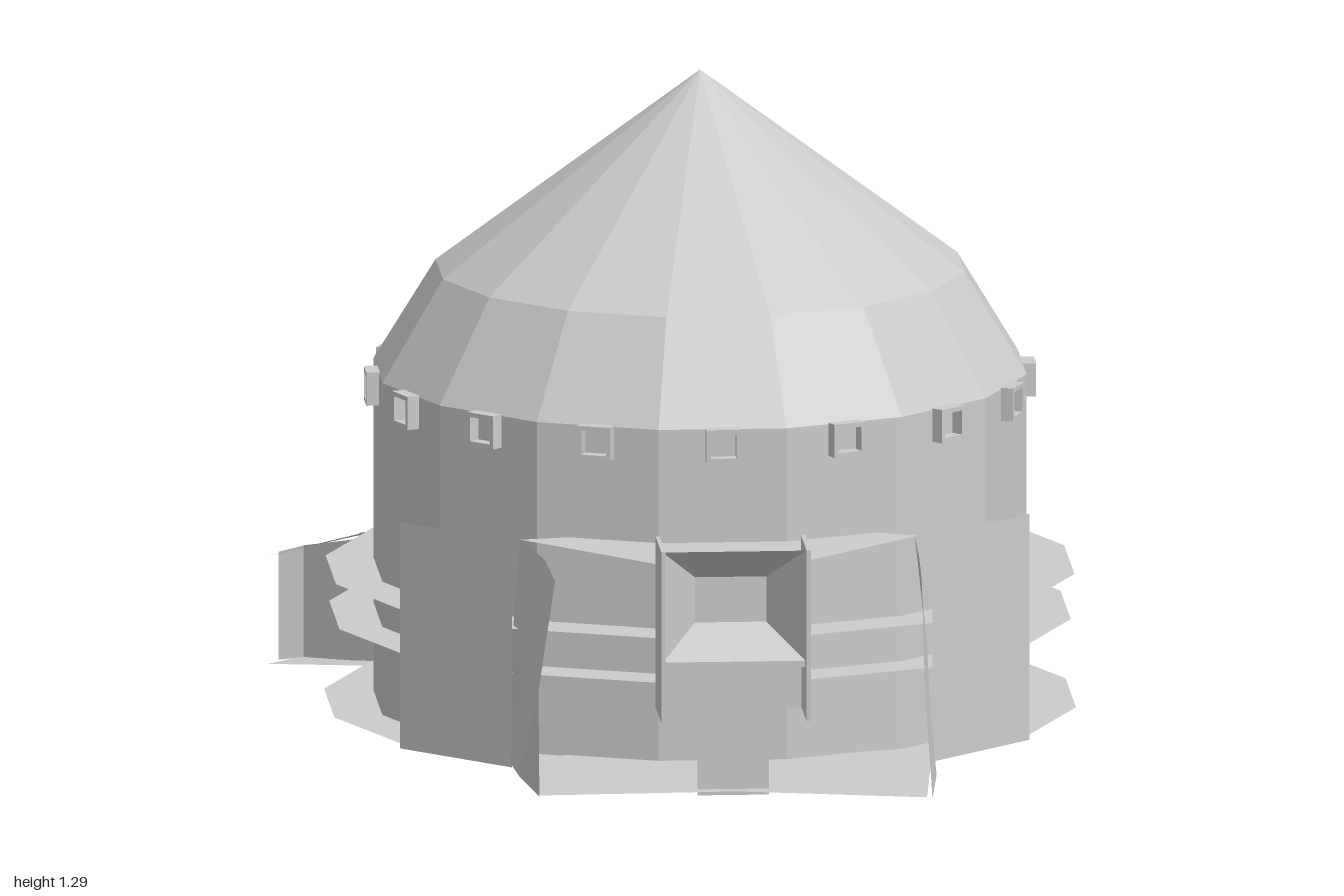
import * as THREE from 'three';

const SIDES = 16, STEP = Math.PI * 2 / SIDES, CZ = -0.115;
const R = a => a / Math.cos(STEP / 2); // corner radius from flat radius
const solid = new THREE.MeshStandardMaterial({ color: 0xcccccc, flatShading: true });
const thin = new THREE.MeshStandardMaterial({ color: 0xcccccc, flatShading: true, side: THREE.DoubleSide });

function add(parent, name, geometry, material = solid) {
  const mesh = new THREE.Mesh(geometry, material);
  mesh.name = name;
  parent.add(mesh);
  return mesh;
}

// Open sheet lofted through rows of points of equal length
function sheet(parent, name, rows) {
  const n = rows[0].length, index = [];
  for (let r = 0; r < rows.length - 1; r++)
    for (let c = 0; c < n - 1; c++) {
      const a = r * n + c, b = a + n;
      index.push(a, a + 1, b + 1, a, b + 1, b);
    }
  const g = new THREE.BufferGeometry();
  g.setAttribute('position', new THREE.Float32BufferAttribute(rows.flat(2), 3));
  g.setIndex(index);
  g.computeVertexNormals();
  return add(parent, name, g, thin);
}

// Horizontal polygon given as [x, z] corners
function slab(parent, name, corners, y) {
  const shape = new THREE.Shape(corners.map(([x, z]) => new THREE.Vector2(x, -z)));
  const g = new THREE.ShapeGeometry(shape).rotateX(-Math.PI / 2).translate(0, y, 0);
  return add(parent, name, g, thin);
}

function tower(root) {
  const t = new THREE.Group();
  t.name = 'tower';
  t.position.z = CZ;
  root.add(t);

  const drum = (name, rTop, rBottom, y0, y1) => add(t, name,
    new THREE.CylinderGeometry(rTop && R(rTop), R(rBottom), y1 - y0, SIDES, 1, true)
      .rotateY(STEP / 2).translate(0, (y0 + y1) / 2, 0));
  drum('wall', 0.63, 0.63, 0.03, 0.7);
  drum('lowerRoof', 0.51, 0.63, 0.7, 0.9);
  drum('upperRoof', 0, 0.51, 0.9, 1.29);

  // Flat walkways and base
  const ring = (name, inner, outer, y) => add(t, name,
    new THREE.RingGeometry(inner && R(inner), R(outer), SIDES)
      .rotateX(-Math.PI / 2).rotateY(STEP / 2).translate(0, y, 0), thin);
  ring('upperWalkway', 0.63, 0.722, 0.305);
  ring('lowerWalkway', 0.63, 0.715, 0.215);
  ring('baseRim', 0.6, 0.725, 0.04);
  ring('baseDisc', 0, 0.66, 0.03);
  for (const r of [0.26, 0.37])
    add(t, 'undersideRidge', new THREE.TorusGeometry(r, 0.008, 4, 32).rotateX(Math.PI / 2).translate(0, 0.03, 0));

  // Flat screens beside the porch
  for (const face of [0, 4])
    add(t, 'screenWall', new THREE.CylinderGeometry(R(0.726), R(0.726), 0.45, 1, 1, true,
      (face - 0.5) * STEP, STEP).translate(0, 0.255, 0), thin);

  // Window frames, one per face
  const frame = new THREE.Shape([[-0.034, -0.033], [0.034, -0.033], [0.034, 0.033], [-0.034, 0.033]]
    .map(p => new THREE.Vector2(...p)));
  frame.holes.push(new THREE.Path([[-0.025, -0.024], [-0.025, 0.024], [0.025, 0.024], [0.025, -0.024]]
    .map(p => new THREE.Vector2(...p))));
  const frameGeo = new THREE.ExtrudeGeometry(frame, { depth: 0.035, bevelEnabled: false })
    .translate(0, 0.67, 0.62);
  for (let i = 0; i < SIDES; i++) add(t, 'windowFrame', frameGeo).rotation.y = i * STEP;

  // Small rear hatch
  add(t, 'rearHatch', new THREE.BoxGeometry(0.11, 0.06, 0.02).translate(0, 0.335, 0.635))
    .rotation.y = -6 * STEP;
}

function chute(root) {
  const c = new THREE.Group();
  c.name = 'sideChute';
  root.add(c);
  const deck = (name, yIn, yOut) => sheet(c, name, [
    [[-0.69, yIn, -0.26], [-0.69, yIn, 0.03]],
    [[-0.99, yOut, -0.26], [-0.99, yOut, 0.03]]]);
  deck('chuteTop', 0.31, 0.215);
  deck('chuteFloor', 0.035, 0);
  // Side walls flare at the mouth
  for (const s of [-1, 1]) {
    const z = CZ + s * 0.085;
    sheet(c, 'chuteWall', [
      [[-0.62, 0.035, z], [-0.95, 0.01, z], [-0.985, 0.005, z + s * 0.035]],
      [[-0.62, 0.305, z], [-0.69, 0.32, z], [-0.985, 0.22, z + s * 0.035]]]
      .map((row, i) => i ? [row[0], [-0.95, 0.232, z], row[2]] : row));
  }
}

function porch(root) {
  const p = new THREE.Group();
  p.name = 'porch';
  root.add(p);

  slab(p, 'porchFloor', [[0.12, 0.58], [0.41, 0.83], [0.67, 0.55], [0.99, 0.35], [0.7, 0.0], [0.4, 0.2]], 0.042);
  slab(p, 'porchRoof', [[0.13, 0.57], [0.49, 0.58], [0.69, 0.38], [0.69, 0.03], [0.5, 0.1], [0.25, 0.4]], 0.475);

  // Leaning wings, creased halfway up
  sheet(p, 'leftWing', [
    [[0.115, 0.04, 0.59], [0.25, 0.04, 0.71], [0.41, 0.04, 0.835]],
    [[0.12, 0.25, 0.585], [0.23, 0.25, 0.665], [0.41, 0.25, 0.838]],
    [[0.13, 0.475, 0.57], [0.28, 0.47, 0.67], [0.42, 0.465, 0.8]]]);
  sheet(p, 'rightWing', [
    [[0.7, 0.04, 0.0], [0.85, 0.04, 0.16], [1.0, 0.04, 0.345]],
    [[0.695, 0.25, 0.01], [0.8, 0.25, 0.135], [0.985, 0.25, 0.35]],
    [[0.685, 0.475, 0.035], [0.84, 0.475, 0.2], [0.985, 0.475, 0.36]]]);

  // Gate between the wings, facing diagonally out
  const g = new THREE.Group();
  g.name = 'gate';
  g.position.set(0.65, 0, 0.535);
  g.rotation.y = Math.PI / 4;
  p.add(g);
  for (const s of [-1, 1])
    add(g, 'gateSide', new THREE.BoxGeometry(0.008, 0.34, 0.16).translate(s * 0.142, 0.36, 0));
  const loop = (w, y0, y1, z) =>
    [[-w, y0, z], [w, y0, z], [w, y1, z], [-w, y1, z], [-w, y0, z]];
  sheet(g, 'gateFunnel', [loop(0.14, 0.3, 0.52, 0.03), loop(0.07, 0.36, 0.45, -0.07)]);
  const panel = (name, w, y0, y1, z) => add(g, name,
    new THREE.PlaneGeometry(w, y1 - y0).translate(0, (y0 + y1) / 2, z), thin);
  panel('funnelBack', 0.14, 0.36, 0.45, -0.07);
  panel('lowerBack', 0.28, 0.19, 0.3, -0.06);
  panel('pedestal', 0.14, 0.03, 0.185, 0);
  add(g, 'gateShelf', new THREE.BoxGeometry(0.28, 0.012, 0.09).translate(0, 0.295, -0.015));
}

export function createModel() {
  const root = new THREE.Group();
  root.name = 'roundHouse';
  tower(root);
  chute(root);
  porch(root);
  return root;
}
